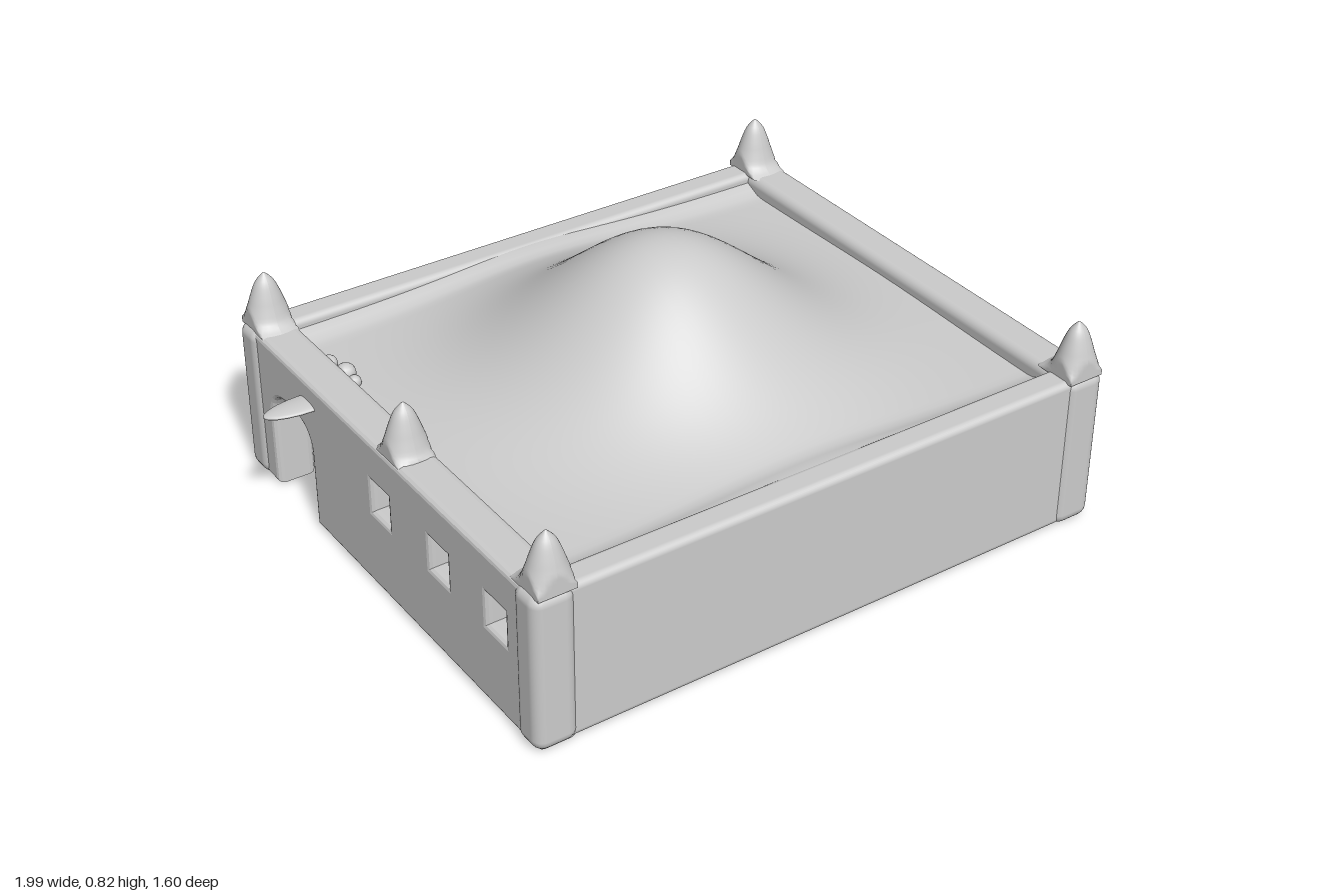
import * as THREE from 'three';
import { RoundedBoxGeometry } from 'three/addons/geometries/RoundedBoxGeometry.js';

const grey = new THREE.MeshStandardMaterial({ color: 0xcccccc });
const greyBoth = new THREE.MeshStandardMaterial({ color: 0xcccccc, side: THREE.DoubleSide });

const LEFT = 0.925, RIGHT = -0.81; // centre lines of the two side walls

// Pointed cap with a flared foot; the foot is cut flush on the outer sides
function spikeGeometry(minZ, maxZ) {
  const profile = new THREE.SplineCurve([
    [0.1, 0], [0.066, 0.022], [0.05, 0.06], [0.038, 0.1], [0.023, 0.14], [0.001, 0.168],
  ].map(([r, y]) => new THREE.Vector2(r, y))).getPoints(18);
  const spike = new THREE.LatheGeometry(profile, 32);
  const p = spike.attributes.position;
  for (let i = 0; i < p.count; i++) {
    p.setX(i, THREE.MathUtils.clamp(p.getX(i) * 1.15, -0.057, 0.057));
    p.setZ(i, THREE.MathUtils.clamp(p.getZ(i), minZ, maxZ));
  }
  spike.computeVertexNormals();
  return spike;
}

// Sheet raised into a smooth mound, curling up where it meets the front and back walls
function moundGeometry(base, height, curl) {
  const sheet = new THREE.PlaneGeometry(1.66, 1.44, 48, 60).rotateX(-Math.PI / 2);
  const p = sheet.attributes.position;
  for (let i = 0; i < p.count; i++) {
    const x = p.getX(i), z = p.getZ(i);
    const mound = height * Math.exp(-Math.pow(Math.hypot(x, z) / 0.435, 2.1));
    p.setY(i, base + mound + curl * THREE.MathUtils.smoothstep(Math.abs(z), 0.63, 0.72));
  }
  sheet.computeVertexNormals();
  return sheet;
}

export function createModel() {
  const model = new THREE.Group();
  const add = (name, geometry, x, y, z, material = grey) => {
    const mesh = new THREE.Mesh(geometry, material);
    mesh.name = name;
    mesh.position.set(x, y, z);
    model.add(mesh);
    return mesh;
  };
  const slab = (w, h, d, r = 0.02) => new RoundedBoxGeometry(w, h, d, 3, r);

  // Plain walls: front, back and left; the box is open underneath
  add('frontWall', slab(1.76, 0.48, 0.09), 0.01, 0.25, 0.745);
  add('backWall', slab(1.76, 0.48, 0.09), 0.01, 0.25, -0.745);
  add('leftWall', slab(0.125, 0.48, 1.57, 0.03), LEFT, 0.25, 0);

  // Right wall, drawn as (z, y), with a door arch cut into its foot
  const outline = new THREE.Shape();
  outline.moveTo(-0.785, 0.01);
  outline.lineTo(-0.635, 0.01);
  outline.lineTo(-0.635, 0.25);
  outline.quadraticCurveTo(-0.635, 0.34, -0.52, 0.34);
  outline.quadraticCurveTo(-0.4, 0.34, -0.4, 0.25);
  outline.lineTo(-0.4, 0.01);
  outline.lineTo(0.785, 0.01);
  outline.lineTo(0.785, 0.49);
  outline.lineTo(-0.785, 0.49);
  outline.closePath();
  // Three small windows
  for (const z of [0.0, 0.31, 0.595]) {
    const hole = new THREE.Path();
    hole.moveTo(z - 0.045, 0.26);
    hole.lineTo(z - 0.045, 0.36);
    hole.lineTo(z + 0.045, 0.36);
    hole.lineTo(z + 0.045, 0.26);
    hole.closePath();
    outline.holes.push(hole);
  }
  const doorWall = new THREE.ExtrudeGeometry(outline, {
    depth: 0.08, bevelThickness: 0.02, bevelSize: 0.015, bevelOffset: -0.015,
    bevelSegments: 3, curveSegments: 8,
  });
  doorWall.rotateY(-Math.PI / 2);
  add('rightWallWithDoor', doorWall, -0.765, 0, 0);

  // Corner posts with their spikes, whose feet run inward along the side walls
  for (const side of [-1, 1]) {
    const spike = side > 0 ? spikeGeometry(-0.12, 0.05) : spikeGeometry(-0.05, 0.12);
    for (const x of [LEFT, RIGHT]) {
      add('cornerPost', slab(0.13, 0.49, 0.11, 0.035), x, 0.25, side * 0.745);
      add('cornerSpike', spike, x === LEFT ? 0.92 : -0.803, 0.484, side * 0.747);
    }
  }
  add('middleSpike', spikeGeometry(-0.07, 0.07), -0.803, 0.475, 0.05);

  // Roof with a slightly lower ceiling beneath it
  add('moundRoof', moundGeometry(0.435, 0.395, 0.03), 0.055, 0, 0, greyBoth);
  add('ceiling', moundGeometry(0.405, 0.395, 0), 0.055, 0, 0, greyBoth);

  // Flat blunt thorn sticking out above the door
  const thorn = add('doorThorn', new THREE.SphereGeometry(1, 20, 12), -0.865, 0.418, -0.4);
  thorn.scale.set(0.135, 0.012, 0.045);

  // Little cluster on the inner side of the door wall
  for (const [x, y, z, s] of [[-0.745, 0.46, -0.49, 0.025], [-0.73, 0.46, -0.42, 0.03], [-0.725, 0.45, -0.38, 0.02]]) {
    add('innerKnob', new THREE.SphereGeometry(s, 12, 8), x, y, z);
  }
  return model;
}
